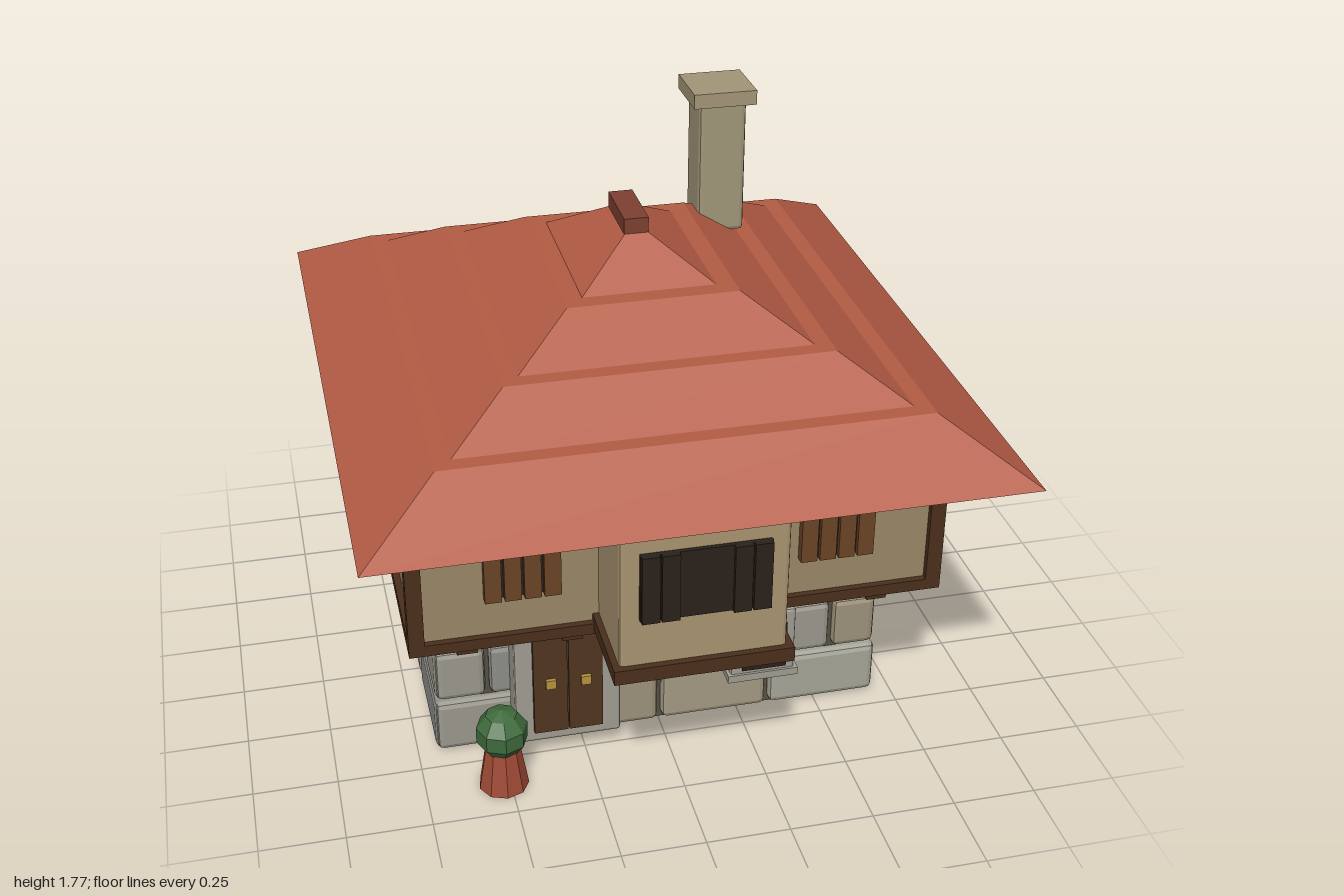
import * as THREE from 'three';
import { RoundedBoxGeometry } from 'three/addons/geometries/RoundedBoxGeometry.js';

const COLORS = {
  roof: 0xb35b44, ridge: 0x7d3f31, wall: 0x9a8867, bay: 0xa99470, timber: 0x4a2f1c,
  shutter: 0x6a4426, dark: 0x2a211b, door: 0x51351f, frame: 0xa09d91, core: 0x575042,
  chimney: 0xa19679, cap: 0xa39678, gold: 0xb8923c, blue: 0x24528c, pot: 0xa04a36, leaf: 0x3f6a3c,
};
const STONES = [0x9b998d, 0x9c917a, 0x8d8d89, 0xa39a82, 0xa5a497];

const materials = new Map();
function paint(color) {
  if (!materials.has(color)) {
    materials.set(color, new THREE.MeshStandardMaterial({ color, flatShading: true }));
  }
  return materials.get(color);
}

// Box given by its extents on each axis, optionally with chamfered edges
function box(parent, name, [x0, x1], [y0, y1], [z0, z1], color, bevel = 0) {
  const size = [x1 - x0, y1 - y0, z1 - z0];
  const geometry = bevel ? new RoundedBoxGeometry(...size, 1, bevel) : new THREE.BoxGeometry(...size);
  const mesh = new THREE.Mesh(geometry, paint(color));
  mesh.position.set((x0 + x1) / 2, (y0 + y1) / 2, (z0 + z1) / 2);
  mesh.name = name;
  parent.add(mesh);
  return mesh;
}

// Four-sided frustum: half sizes at the bottom and at the top
function frustum(parent, name, [bx, bz, y0], [tx, tz, y1], color) {
  const geometry = new THREE.BoxGeometry(2, 1, 2);
  const p = geometry.attributes.position;
  for (let i = 0; i < p.count; i++) {
    const top = p.getY(i) > 0;
    p.setXYZ(i, p.getX(i) * (top ? tx : bx), top ? y1 : y0, p.getZ(i) * (top ? tz : bz));
  }
  geometry.computeVertexNormals();
  const mesh = new THREE.Mesh(geometry, paint(color));
  mesh.name = name;
  parent.add(mesh);
}

function group(parent, name) {
  const g = new THREE.Group();
  g.name = name;
  parent.add(g);
  return g;
}

function stoneBase(house) {
  const base = group(house, 'stoneBase');
  box(base, 'stoneCore', [-0.66, 0.66], [0, 0.545], [-0.65, 0.41], COLORS.core);
  const rows = [
    { y: [0.01, 0.18], x: [-0.69, -0.34, 0, 0.345, 0.69], z: [-0.68, -0.28, 0.065, 0.44], out: 0 },
    { y: [0.19, 0.36], x: [-0.685, -0.53, -0.17, 0.195, 0.545, 0.685], z: [-0.68, -0.445, -0.105, 0.22, 0.435], out: 0 },
    { y: [0.375, 0.545], x: [-0.69, -0.345, 0, 0.345, 0.69], z: [-0.66, -0.28, 0.065, 0.44], out: 0.01 },
  ];
  const gap = 0.007, depth = 0.12;
  let n = 0;
  const tone = () => STONES[(n * 3 + Math.floor(n++ / 4)) % STONES.length];
  for (const { y, x, z } of rows) {
    const x1 = x[x.length - 1], z0 = z[0], z1 = z[z.length - 1];
    // Front and back courses
    for (let i = 0; i < x.length - 1; i++) {
      const span = [x[i] + (i ? gap : 0), x[i + 1] - (i < x.length - 2 ? gap : 0)];
      box(base, 'frontStone', span, y, [z1 - depth, z1], tone(), 0.018);
      box(base, 'backStone', span, y, [z0, z0 + depth], tone(), 0.018);
    }
    // Side courses
    for (let i = 0; i < z.length - 1; i++) {
      const span = [z[i] + gap, z[i + 1] - gap];
      box(base, 'leftStone', [x1 - depth, x1 + 0.004], y, span, tone(), 0.018);
      box(base, 'rightStone', [-x1 - 0.004, depth - x1], y, span, tone(), 0.018);
    }
  }
}

function upperFloor(house) {
  const floor = group(house, 'upperFloor');
  box(floor, 'upperWalls', [-0.76, 0.76], [0.56, 1.06], [-0.71, 0.66], COLORS.wall);
  box(floor, 'floorBeam', [-0.78, 0.78], [0.545, 0.58], [-0.73, 0.68], COLORS.timber);
  for (const x of [-0.78, 0.735]) {
    for (const z of [-0.73, 0.635]) {
      box(floor, 'cornerPost', [x, x + 0.045], [0.55, 1.06], [z, z + 0.045], COLORS.timber);
    }
  }
  for (const x of [-0.61, -0.305, 0, 0.305, 0.61]) {
    box(floor, 'joist', [x - 0.03, x + 0.03], [0.49, 0.55], [0.4, 0.62], COLORS.timber);
  }
  // Shuttered windows
  for (const x of [-0.455, 0.455]) {
    const window = group(floor, 'shutteredWindow');
    box(window, 'windowPane', [x - 0.1, x + 0.1], [0.705, 0.945], [0.65, 0.672], COLORS.dark);
    for (const dx of [-0.084, -0.028, 0.028, 0.084]) {
      box(window, 'shutterBoard', [x + dx - 0.024, x + dx + 0.024], [0.7, 0.95], [0.65, 0.688], COLORS.shutter);
    }
  }
  // Projecting bay
  const bay = group(floor, 'bay');
  box(bay, 'bayWalls', [-0.237, 0.237], [0.585, 1.07], [0.6, 0.922], COLORS.bay, 0.012);
  box(bay, 'baySill', [-0.255, 0.255], [0.557, 0.602], [0.62, 0.942], COLORS.timber);
  box(bay, 'bayWindow', [-0.182, 0.182], [0.75, 0.96], [0.9, 0.935], COLORS.dark);
  for (const x of [-0.155, -0.1, 0.1, 0.155]) {
    box(bay, 'bayShutter', [x - 0.025, x + 0.025], [0.75, 0.96], [0.92, 0.948], COLORS.dark);
  }
}

function roof(house) {
  const top = group(house, 'roof');
  // Each tier starts a little below the flat step of the one beneath
  const tiers = [
    [[0.92, 1, 1.05], [0.69, 0.765, 1.19]],
    [[0.673, 0.748, 1.17], [0.47, 0.545, 1.295]],
    [[0.453, 0.528, 1.275], [0.25, 0.325, 1.4]],
    [[0.225, 0.3, 1.38], [0.03, 0.1, 1.51]],
  ];
  for (const [low, high] of tiers) frustum(top, 'roofTier', low, high, COLORS.roof);
  box(top, 'ridgeCap', [-0.036, 0.036], [1.5, 1.553], [-0.105, 0.105], COLORS.ridge);
  box(top, 'chimney', [0.29, 0.437], [1.305, 1.735], [-0.437, -0.29], COLORS.chimney, 0.014);
  box(top, 'chimneyCap', [0.265, 0.46], [1.725, 1.77], [-0.46, -0.265], COLORS.cap);
}

function entrance(house) {
  const door = group(house, 'doorway');
  box(door, 'doorFrame', [-0.465, -0.145], [0.067, 0.52], [0.43, 0.53], COLORS.frame, 0.01);
  box(door, 'blueLintel', [-0.46, -0.15], [0.52, 0.543], [0.43, 0.53], COLORS.blue);
  for (const side of [-1, 1]) {
    const x = -0.307 + side * 0.053;
    box(door, 'doorLeaf', [x - 0.051, x + 0.051], [0.11, 0.475], [0.5, 0.546], COLORS.door);
    box(door, 'doorHandle', [x - 0.015, x + 0.015], [0.275, 0.305], [0.54, 0.558], COLORS.gold);
  }
  // Small framed hatch beside the door
  const hatch = group(house, 'wallHatch');
  box(hatch, 'hatchFrame', [0.2, 0.4], [0.18, 0.42], [0.42, 0.52], COLORS.frame, 0.01);
  box(hatch, 'hatchSill', [0.19, 0.41], [0.18, 0.205], [0.42, 0.528], COLORS.frame);
  box(hatch, 'hatchOpening', [0.234, 0.37], [0.22, 0.375], [0.5, 0.53], COLORS.dark);
  box(hatch, 'hatchHood', [0.25, 0.35], [0.4, 0.44], [0.44, 0.542], COLORS.dark);
  box(hatch, 'hatchHoodTop', [0.276, 0.326], [0.435, 0.465], [0.44, 0.542], COLORS.dark);
}

function plant(house) {
  const potted = group(house, 'pottedBush');
  potted.position.set(-0.52, 0, 0.613);
  const pot = new THREE.Mesh(new THREE.CylinderGeometry(0.052, 0.075, 0.14, 9), paint(COLORS.pot));
  pot.name = 'pot';
  pot.position.y = 0.07;
  const bush = new THREE.Mesh(new THREE.SphereGeometry(0.08, 8, 5), paint(COLORS.leaf));
  bush.name = 'bush';
  bush.position.y = 0.19;
  potted.add(pot, bush);
}

export function createModel() {
  const house = new THREE.Group();
  house.name = 'house';
  stoneBase(house);
  upperFloor(house);
  roof(house);
  entrance(house);
  plant(house);
  return house;
}
